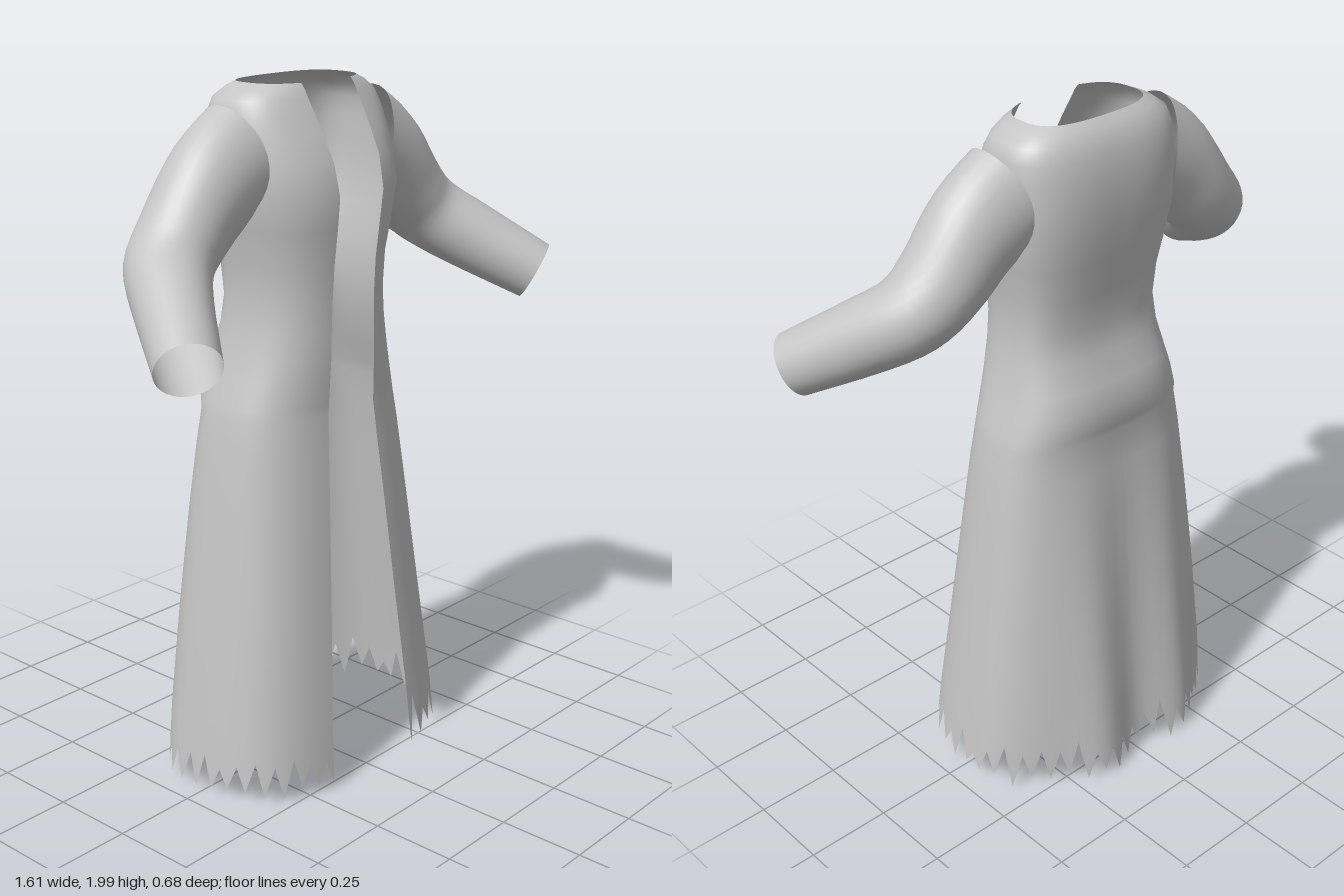
import * as THREE from 'three';
import { mergeVertices } from 'three/addons/utils/BufferGeometryUtils.js';

const cloth = new THREE.MeshStandardMaterial({ color: 0xc4c4c4, side: THREE.DoubleSide });
cloth.name = 'grey cloth';

// Coat levels, top to bottom: height, half width, front z, back z, half of the front opening
const LEVELS = [
  [2.0, 0.19, 0.09, -0.13, 0.1],
  [1.985, 0.225, 0.1, -0.15, 0.1],
  [1.96, 0.26, 0.112, -0.172, 0.1],
  [1.92, 0.275, 0.135, -0.187, 0.099],
  [1.87, 0.278, 0.162, -0.197, 0.097],
  [1.8, 0.278, 0.197, -0.202, 0.094],
  [1.71, 0.277, 0.216, -0.197, 0.09],
  [1.62, 0.262, 0.207, -0.183, 0.088],
  [1.52, 0.24, 0.196, -0.166, 0.087],
  [1.42, 0.236, 0.191, -0.152, 0.088],
  [1.34, 0.245, 0.19, -0.165, 0.09],
  [1.26, 0.262, 0.19, -0.198, 0.092],
  [1.2, 0.28, 0.187, -0.214, 0.094],
  [1.13, 0.302, 0.184, -0.214, 0.096],
  [1.1, 0.31, 0.183, -0.2, 0.097],
  [1.0, 0.328, 0.192, -0.212, 0.104],
  [0.8, 0.354, 0.212, -0.24, 0.12],
  [0.5, 0.392, 0.24, -0.28, 0.143],
  [0.2, 0.43, 0.268, -0.32, 0.168],
  [0.0, 0.45, 0.285, -0.347, 0.18],
];

const HALF = 76; // columns on each side, four to a tooth

// Grid of points (rows of columns) to a smooth surface
function surface(rows) {
  const n = rows[0].length;
  const index = [];
  for (let r = 0; r < rows.length - 1; r++) {
    for (let c = 0; c < n - 1; c++) {
      const a = r * n + c, b = a + n;
      index.push(a, b, a + 1, b, b + 1, a + 1);
    }
  }
  let g = new THREE.BufferGeometry().setFromPoints(rows.flat());
  g.setIndex(index);
  g = mergeVertices(g, 1e-5);
  g.computeVertexNormals();
  return g;
}

// One level of the coat: from the left front edge round the back to the right front edge
function section([y, w, zf, zb, gap]) {
  const k = THREE.MathUtils.clamp((1.1 - y) / 1.1, 0, 1);
  const nf = 2.6 + 0.9 * k, nb = 2.8 - 1.1 * k, zc = -0.03 - 0.05 * k;
  const pts = [];
  const a0 = Math.asin(Math.pow(gap / w, nf / 2));
  for (let i = 0; i <= 30; i++) {
    const a = a0 + (Math.PI / 2 - a0) * i / 30;
    const co = Math.max(0, Math.cos(a));
    pts.push(new THREE.Vector2(w * Math.sin(a) ** (2 / nf), zc + (zf - zc) * co ** (2 / nf)));
  }
  for (let i = 1; i <= 30; i++) {
    const a = Math.PI / 2 * i / 30;
    const x = w * Math.max(0, Math.cos(a)) ** (2 / nb);
    // soft folds either side of the back centre
    const fold = k * (0.04 * Math.exp(-((x / 0.09) ** 2)) - 0.025 * Math.exp(-(((x - 0.17) / 0.08) ** 2)));
    pts.push(new THREE.Vector2(x, zc + (zb - zc) * Math.sin(a) ** (2 / nb) + fold));
  }
  const half = new THREE.SplineCurve(pts).getSpacedPoints(HALF);
  half[HALF].x = 0;
  const left = half.map(p => new THREE.Vector3(p.x, y, p.y));
  const right = left.slice(0, HALF).reverse().map(p => new THREE.Vector3(-p.x, p.y, p.z));
  return [...left, ...right];
}

function coatBody() {
  let seed = 7;
  const rand = () => (seed = (seed * 16807) % 2147483647) / 2147483647;
  const rows = LEVELS.map(section);
  // Ragged hem: alternate tips and notches of uneven height
  const low = rows[rows.length - 2], end = rows[rows.length - 1];
  const knots = [];
  for (let i = 0; i <= HALF; i++) knots.push(i % 2 ? 0.075 + 0.09 * rand() : 0.005 + 0.045 * rand());
  end.forEach((p, c) => {
    const i = Math.floor(c / 2);
    const y = c % 2 ? (knots[i] + knots[i + 1]) / 2 : knots[i];
    p.lerp(low[c], y / 0.2);
  });
  return surface(rows);
}

// Sleeve rings: centre, axis, and [height radius, depth radius, wrap at the armhole]
const SLEEVE = [
  [[0.3, 1.8, -0.015], [1, -0.1, 0], [0.155, 0.125, 0.045]],
  [[0.37, 1.73, -0.012], [0.8, -0.6, 0], [0.142, 0.122, 0]],
  [[0.46, 1.635, -0.008], [0.7, -0.7, 0.1], [0.122, 0.12, 0]],
  [[0.54, 1.56, 0.02], [0.62, -0.6, 0.45], [0.11, 0.117, 0]],
  [[0.62, 1.487, 0.12], [0.5, -0.47, 0.73], [0.103, 0.103, 0]],
  [[0.73, 1.385, 0.28], [0.5, -0.47, 0.73], [0.089, 0.088, 0]],
];

function sleeve(side) {
  const [centre, axis, size] = [0, 1, 2].map(j =>
    new THREE.CatmullRomCurve3(SLEEVE.map(s => new THREE.Vector3(...s[j])), false, 'catmullrom', 0.5));
  const rows = [];
  const steps = 20, sides = 32;
  for (let i = 0; i <= steps; i++) {
    const t = i / steps;
    const c = centre.getPoint(t), d = axis.getPoint(t).normalize(), s = size.getPoint(t);
    const u = new THREE.Vector3(0, 1, 0).addScaledVector(d, -d.y).normalize();
    const v = new THREE.Vector3().crossVectors(d, u);
    const row = [];
    for (let j = 0; j <= sides; j++) {
      const a = -side * (j % sides) / sides * Math.PI * 2;
      const p = c.clone().addScaledVector(u, s.x * Math.cos(a)).addScaledVector(v, s.y * Math.sin(a));
      p.x -= s.z * Math.sin(a) ** 2;
      p.x *= side;
      row.push(p);
    }
    rows.push(row);
  }
  return surface(rows);
}

export function createModel() {
  const coat = new THREE.Group();
  coat.name = 'coat';
  const add = (name, geometry) => {
    const mesh = new THREE.Mesh(geometry, cloth);
    mesh.name = name;
    coat.add(mesh);
  };
  add('coatBody', coatBody());
  add('leftSleeve', sleeve(1));
  add('rightSleeve', sleeve(-1));
  return coat;
}
